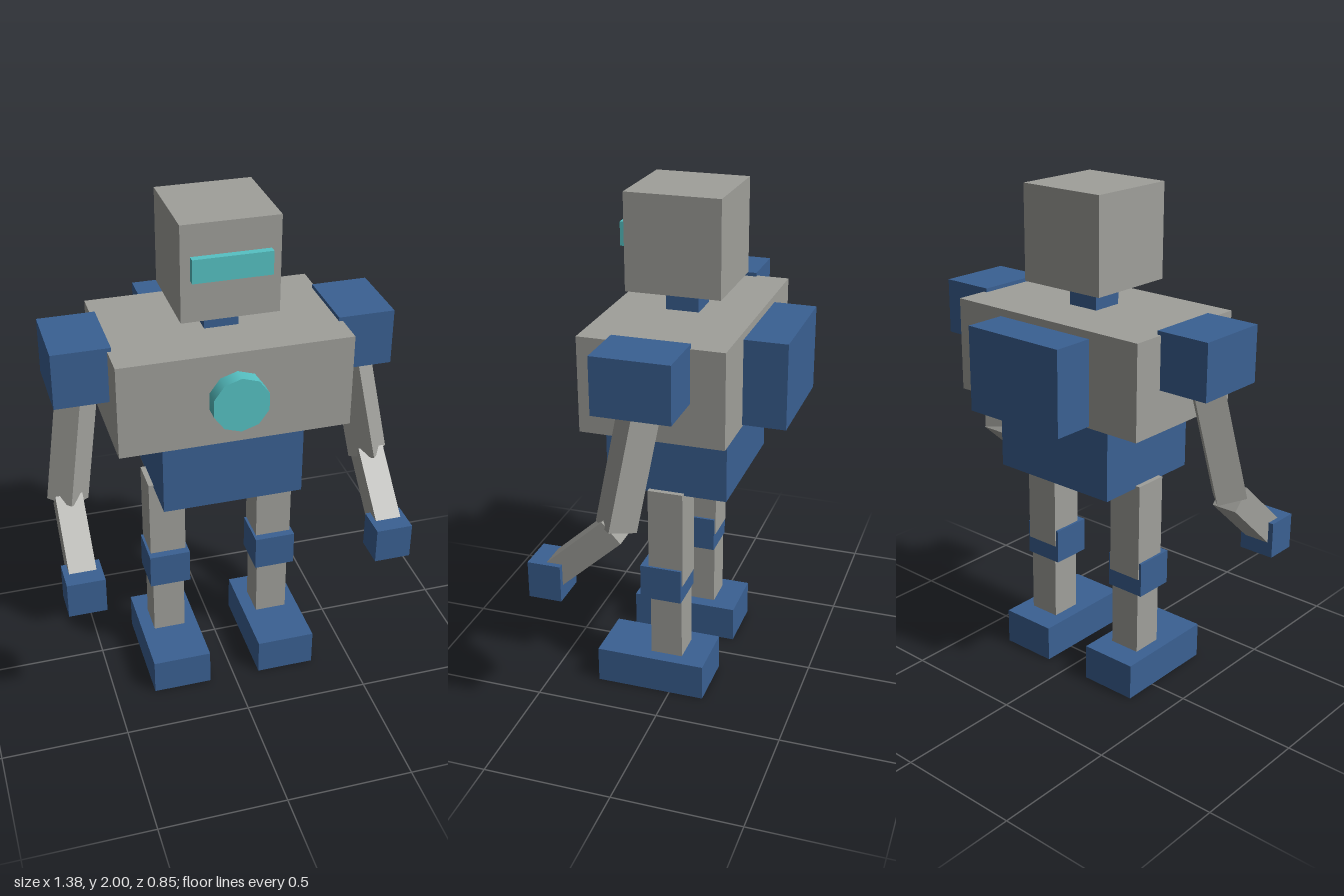
import * as THREE from 'three';

const mat = (name, color) => {
  const m = new THREE.MeshStandardMaterial({ color });
  m.name = name;
  return m;
};

export function createModel() {
  const grey = mat('warm grey', 0x9f9f9a);
  const blue = mat('steel blue', 0x3a6092);
  const teal = mat('teal', 0x56c1c3);
  const robot = new THREE.Group();
  robot.name = 'robot';

  const add = (parent, name, geometry, material) => {
    const mesh = new THREE.Mesh(geometry, material);
    mesh.name = name;
    parent.add(mesh);
    return mesh;
  };

  // Box given by its extents along each axis
  const box = (parent, name, material, [x0, x1], [y0, y1], [z0, z1]) => {
    const mesh = add(parent, name, new THREE.BoxGeometry(x1 - x0, y1 - y0, z1 - z0), material);
    mesh.position.set((x0 + x1) / 2, (y0 + y1) / 2, (z0 + z1) / 2);
    return mesh;
  };

  // Square bar between two points, optionally twisted about its own axis
  const bar = (parent, name, material, from, to, width, twist = 0) => {
    const a = new THREE.Vector3(...from), b = new THREE.Vector3(...to);
    const geometry = new THREE.BoxGeometry(width, a.distanceTo(b), width).rotateY(twist);
    const mesh = add(parent, name, geometry, material);
    mesh.position.lerpVectors(a, b, 0.5);
    mesh.quaternion.setFromUnitVectors(new THREE.Vector3(0, 1, 0), a.clone().sub(b).normalize());
    return mesh;
  };

  // Head and torso
  box(robot, 'head', grey, [-0.184, 0.184], [1.63, 2], [-0.158, 0.21]);
  box(robot, 'visor', teal, [-0.148, 0.148], [1.79, 1.88], [0.2, 0.238]);
  box(robot, 'neck', blue, [-0.066, 0.066], [1.5, 1.65], [-0.037, 0.091]);
  box(robot, 'chest', grey, [-0.445, 0.445], [1.165, 1.535], [-0.255, 0.301]);
  box(robot, 'pelvis', blue, [-0.275, 0.275], [0.87, 1.165], [-0.213, 0.265]);
  box(robot, 'backpack', blue, [-0.222, 0.222], [1.172, 1.506], [-0.422, -0.25]);

  // Ten-sided chest light
  const light = add(robot, 'chestLight',
    new THREE.CylinderGeometry(0.11, 0.11, 0.07, 10).rotateX(Math.PI / 2), teal);
  light.position.set(0, 1.35, 0.324);

  for (const [side, s] of [['left', 1], ['right', -1]]) {
    const span = (a, b) => (s > 0 ? [a, b] : [-b, -a]);

    // Arm: edge-on upper bar, forearm bent forward to the hand
    const arm = new THREE.Group();
    arm.name = side + 'Arm';
    robot.add(arm);
    const elbow = [s * 0.613, 0.889, 0.1];
    box(arm, 'shoulder', blue, span(0.43, 0.65), [1.33, 1.55], [-0.125, 0.172]);
    bar(arm, 'upperArm', grey, [s * 0.525, 1.42, 0.015], elbow, 0.113, Math.PI / 4);
    bar(arm, 'forearm', grey, elbow, [s * 0.613, 0.652, 0.36], 0.104);
    box(arm, 'hand', blue, span(0.54, 0.686), [0.58, 0.725], [0.297, 0.425]);

    // Leg
    const leg = new THREE.Group();
    leg.name = side + 'Leg';
    robot.add(leg);
    box(leg, 'thigh', grey, span(0.15, 0.295), [0.48, 0.88], [-0.045, 0.095]);
    box(leg, 'knee', blue, span(0.14, 0.305), [0.407, 0.55], [-0.04, 0.127]);
    box(leg, 'shin', grey, span(0.158, 0.288), [0.14, 0.48], [-0.038, 0.091]);
    box(leg, 'foot', blue, span(0.105, 0.34), [0, 0.148], [-0.14, 0.303]);
  }
  return robot;
}
